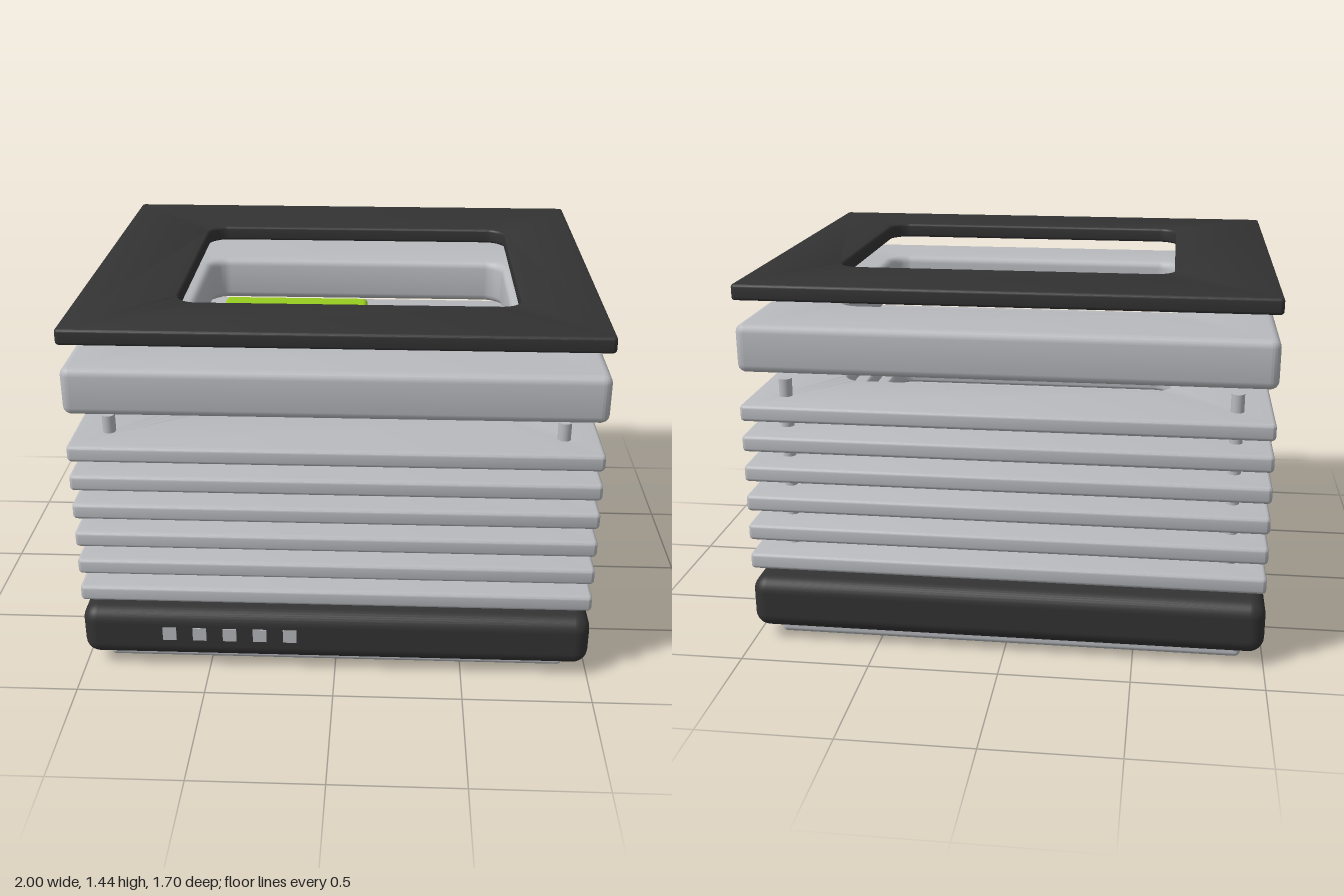
import * as THREE from 'three';
import { toCreasedNormals } from 'three/addons/utils/BufferGeometryUtils.js';
import { RoundedBoxGeometry } from 'three/addons/geometries/RoundedBoxGeometry.js';

const material = (name, color) => {
  const m = new THREE.MeshStandardMaterial({ color });
  m.name = name;
  return m;
};

// Rounded rectangle drawn on a Shape or Path
function roundedRect(path, x0, y0, x1, y1, r) {
  path.moveTo(x0 + r, y0);
  path.lineTo(x1 - r, y0);
  path.absarc(x1 - r, y0 + r, r, -Math.PI / 2, 0, false);
  path.lineTo(x1, y1 - r);
  path.absarc(x1 - r, y1 - r, r, 0, Math.PI / 2, false);
  path.lineTo(x0 + r, y1);
  path.absarc(x0 + r, y1 - r, r, Math.PI / 2, Math.PI, false);
  path.lineTo(x0, y0 + r);
  path.absarc(x0 + r, y0 + r, r, Math.PI, Math.PI * 1.5, false);
  return path;
}

// Horizontal frame with the shared off-centre window and bevelled edges
function frameGeometry(height, bevel) {
  const shape = roundedRect(new THREE.Shape(), -0.993, -0.847, 0.993, 0.847, bevel + 0.005);
  // shape y becomes -z once laid flat
  shape.holes.push(roundedRect(new THREE.Path(), -0.61, -0.53, 0.69, 0.47, 0.08));
  const geometry = new THREE.ExtrudeGeometry(shape, {
    depth: height - 2 * bevel, bevelEnabled: true, bevelThickness: bevel,
    bevelSize: bevel, bevelOffset: -bevel, bevelSegments: 4, curveSegments: 8,
  });
  geometry.translate(0, 0, bevel);
  geometry.rotateX(-Math.PI / 2);
  return toCreasedNormals(geometry, 0.6);
}

export function createModel() {
  const model = new THREE.Group();
  model.name = 'layeredEnclosure';
  const dark = material('charcoal', 0x333333);
  const grey = material('lightGrey', 0xb9bbbf);
  const green = material('limeGreen', 0x96cc1f);

  const add = (name, geometry, mat, x, y, z) => {
    const mesh = new THREE.Mesh(geometry, mat);
    mesh.name = name;
    mesh.position.set(x, y, z);
    model.add(mesh);
  };
  // Rounded box given by its extents on each axis
  const addBox = (name, mat, [x0, x1], [y0, y1], [z0, z1], r) =>
    add(name, new RoundedBoxGeometry(x1 - x0, y1 - y0, z1 - z0, 4, r), mat,
      (x0 + x1) / 2, (y0 + y1) / 2, (z0 + z1) / 2);

  // Foot and base tray
  addBox('foot', grey, [-0.915, 0.91], [0, 0.06], [-0.77, 0.77], 0.022);
  addBox('base', dark, [-1, 1], [0.052, 0.265], [-0.85, 0.85], 0.06);

  // Row of indicators on the front of the base
  for (let i = 0; i < 5; i++) {
    add('indicator', new THREE.BoxGeometry(0.054, 0.056, 0.01), grey, -0.652 + i * 0.119, 0.168, 0.849);
  }

  // Circuit panel with raised strips
  addBox('panel', dark, [-0.547, 0.175], [0.295, 0.382], [-0.47, 0.272], 0.02);
  for (let i = 0; i < 5; i++) {
    add('panelStrip', new THREE.BoxGeometry(0.026, 0.03, 0.545), grey, -0.432 + i * 0.1125, 0.393, -0.11);
  }

  // Stack of spaced frames
  const layer = frameGeometry(0.064, 0.014);
  for (let i = 0; i < 6; i++) add('layerFrame', layer, grey, 0, 0.311 + i * 0.121, 0);

  // Corner posts
  const post = new THREE.CylinderGeometry(0.025, 0.025, 0.71, 20);
  for (const x of [-0.858, 0.855]) {
    for (const z of [-0.7, 0.7]) add('cornerPost', post, grey, x, 0.695, z);
  }

  // Suspended bar, upper collar and lid frame
  addBox('greenBar', green, [-0.535, 0.095], [1.03, 1.165], [-0.33, -0.193], 0.02);
  add('collar', frameGeometry(0.183, 0.03), grey, 0, 1.106, 0);
  add('lidFrame', frameGeometry(0.06, 0.011), dark, 0, 1.381, 0);

  return model;
}
